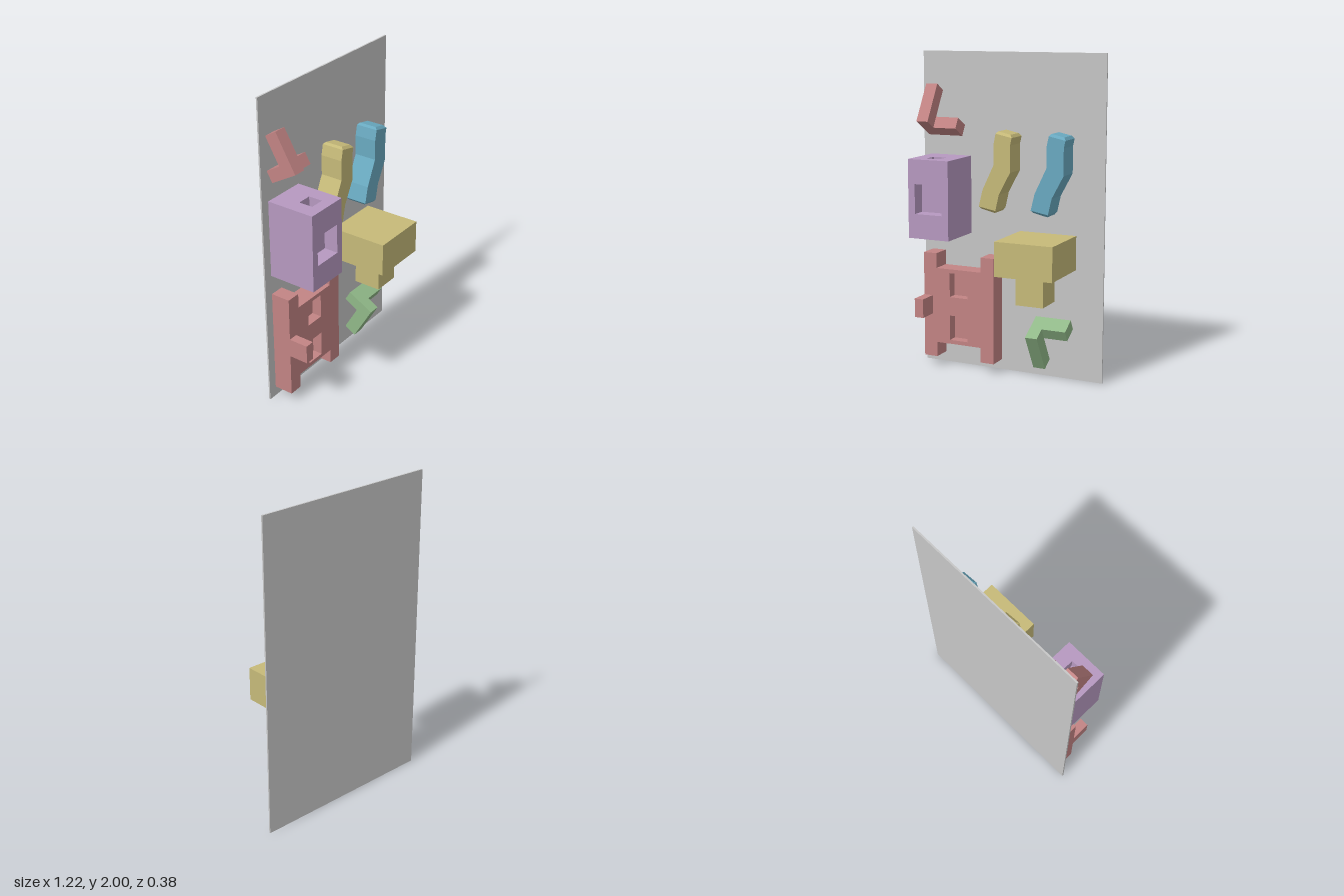
import * as THREE from 'three';
import { mergeGeometries } from 'three/addons/utils/BufferGeometryUtils.js';

const mat = (name, color) => new THREE.MeshStandardMaterial({ name, color });

const WALL = -0.18; // front plane of the panel

function mesh(name, geometry, material) {
  const m = new THREE.Mesh(geometry, material);
  m.name = name;
  return m;
}

// Box given by its limits on each axis
function block(name, material, [x0, x1], [y0, y1], [z0, z1]) {
  const g = new THREE.BoxGeometry(x1 - x0, y1 - y0, z1 - z0);
  g.translate((x0 + x1) / 2, (y0 + y1) / 2, (z0 + z1) / 2);
  return mesh(name, g, material);
}

function rectPath(path, x0, x1, y0, y1) {
  path.moveTo(x0, y0);
  path.lineTo(x1, y0);
  path.lineTo(x1, y1);
  path.lineTo(x0, y1);
  path.closePath();
  return path;
}

// Rectangular face (facing +z) with a rectangular pocket sunk into it
function pocketFace(w, h, pw, ph, depth, offsetY = 0) {
  const shape = rectPath(new THREE.Shape(), -w / 2, w / 2, -h / 2, h / 2);
  shape.holes.push(rectPath(new THREE.Path(), -pw / 2, pw / 2, offsetY - ph / 2, offsetY + ph / 2));
  const face = new THREE.ShapeGeometry(shape).toNonIndexed();
  const inner = new THREE.BoxGeometry(pw, ph, depth).translate(0, offsetY, -depth / 2);
  // Drop the open side and turn the rest inside out
  inner.setIndex([...inner.index.array].filter((_, i) => i < 24 || i >= 30).reverse());
  const pocket = inner.toNonIndexed();
  pocket.computeVertexNormals();
  return mergeGeometries([face, pocket]);
}

// Hollowed block: pockets in front and top, plain faces elsewhere
function head(material) {
  const w = 0.275, h = 0.49, d = 0.31;
  const plane = (a, b) => new THREE.PlaneGeometry(a, b).toNonIndexed();
  const geometry = mergeGeometries([
    pocketFace(w, h, 0.185, 0.185, 0.09).translate(0, 0, d / 2),
    pocketFace(w, d, 0.09, 0.09, 0.08, -0.04).rotateX(-Math.PI / 2).translate(0, h / 2, 0),
    plane(w, d).rotateX(Math.PI / 2).translate(0, -h / 2, 0),
    plane(w, h).rotateY(Math.PI).translate(0, 0, -d / 2),
    plane(d, h).rotateY(Math.PI / 2).translate(w / 2, 0, 0),
    plane(d, h).rotateY(-Math.PI / 2).translate(-w / 2, 0, 0),
  ]);
  const m = mesh('pocketedBlock', geometry, material);
  m.position.set(-0.4175, 1.11, WALL + d / 2);
  return m;
}

// H-shaped body with two shallow recesses and a side peg
function body(material) {
  const g = new THREE.Group();
  g.name = 'body';
  const shape = new THREE.Shape([
    [-0.555, 0.065], [-0.465, 0.065], [-0.465, 0.16], [-0.155, 0.16], [-0.155, 0.065], [-0.065, 0.065],
    [-0.065, 0.74], [-0.155, 0.74], [-0.155, 0.645], [-0.465, 0.645], [-0.465, 0.74], [-0.555, 0.74],
  ].map(([x, y]) => new THREE.Vector2(x, y)));
  for (const [y0, y1] of [[0.185, 0.345], [0.465, 0.62]]) {
    shape.holes.push(rectPath(new THREE.Path(), -0.372, -0.248, y0, y1));
    const floor = mesh('recessFloor', new THREE.PlaneGeometry(0.124, y1 - y0), material);
    floor.position.set(-0.31, (y0 + y1) / 2, -0.12);
    g.add(floor);
  }
  const plate = new THREE.ExtrudeGeometry(shape, { depth: 0.125, bevelEnabled: false });
  g.add(mesh('bodyPlate', plate.translate(0, 0, WALL), material));
  g.add(block('sidePeg', material, [-0.555, -0.495], [0.345, 0.465], [-0.055, 0.07]));
  return g;
}

// Tilted corner bracket: a long bar with a crossbar behind its end
function bracket(name, material, x, y, dir) {
  const g = new THREE.Group();
  g.name = name;
  const span = (a, b) => (dir > 0 ? [a, b] : [-b, -a]);
  g.add(block('longBar', material, [0, 0.078], span(0, 0.26), [-0.085, 0]));
  g.add(block('crossBar', material, [0, 0.232], span(0, 0.075), [-0.19, -0.085]));
  g.rotation.x = -dir * Math.PI / 6;
  g.position.set(x, y, 0.02);
  return g;
}

// Bent limb: rectangular sections lofted downwards, with softened ends
// Each section: left x, left y, right x, right y, depth inset
function limb(name, material, x) {
  const sections = [
    [-0.03, 1.53, 0.052, 1.513, 0.015],
    [-0.041, 1.517, 0.065, 1.495, 0],
    [-0.055, 1.45, 0.055, 1.45, 0],
    [-0.055, 1.325, 0.055, 1.285, 0],
    [-0.13, 1.168, -0.02, 1.145, 0],
    [-0.155, 1.065, -0.043, 1.045, 0],
    [-0.143, 1.05, -0.053, 1.03, 0.015],
  ];
  const rings = sections.map(([xl, yl, xr, yr, i]) => {
    const back = WALL + i, front = -0.035 - i;
    return [[xl, yl, front], [xr, yr, front], [xr, yr, back], [xl, yl, back]];
  });
  const pos = [];
  const quad = (a, b, c, d) => pos.push(...a, ...b, ...c, ...a, ...c, ...d);
  for (let s = 0; s < rings.length - 1; s++) {
    const up = rings[s], low = rings[s + 1];
    for (let k = 0; k < 4; k++) {
      const n = (k + 1) % 4;
      quad(low[k], low[n], up[n], up[k]);
    }
  }
  const top = rings[0], end = rings[rings.length - 1];
  quad(top[0], top[1], top[2], top[3]);
  quad(end[3], end[2], end[1], end[0]);
  const geometry = new THREE.BufferGeometry();
  geometry.setAttribute('position', new THREE.Float32BufferAttribute(pos, 3));
  geometry.computeVertexNormals();
  const m = mesh(name, geometry, material);
  m.position.x = x;
  return m;
}

export function createModel() {
  const grey = mat('panelGrey', 0xc6c6c6);
  const red = mat('dustyRed', 0xc28484);
  const purple = mat('softPurple', 0xb699c0);
  const yellow = mat('mustardYellow', 0xc6ba79);
  const blue = mat('tealBlue', 0x6aaac1);
  const green = mat('leafGreen', 0x90b888);

  const model = new THREE.Group();
  model.name = 'partsBoard';
  model.add(
    block('backPanel', grey, [-0.61, 0.61], [0, 2], [-0.19, WALL]),
    body(red),
    head(purple),
    // Capped post
    block('capBlock', yellow, [0.058, 0.43], [0.693, 0.905], [WALL, 0.19]),
    block('capPost', yellow, [0.155, 0.332], [0.508, 0.693], [-0.08, 0.095]),
    // Paired limbs and brackets
    limb('yellowLimb', yellow, 0),
    limb('blueLimb', blue, 0.347),
    bracket('redBracket', red, -0.555, 1.575, 1),
    bracket('greenBracket', green, 0.183, 0.29, -1),
  );
  return model;
}
